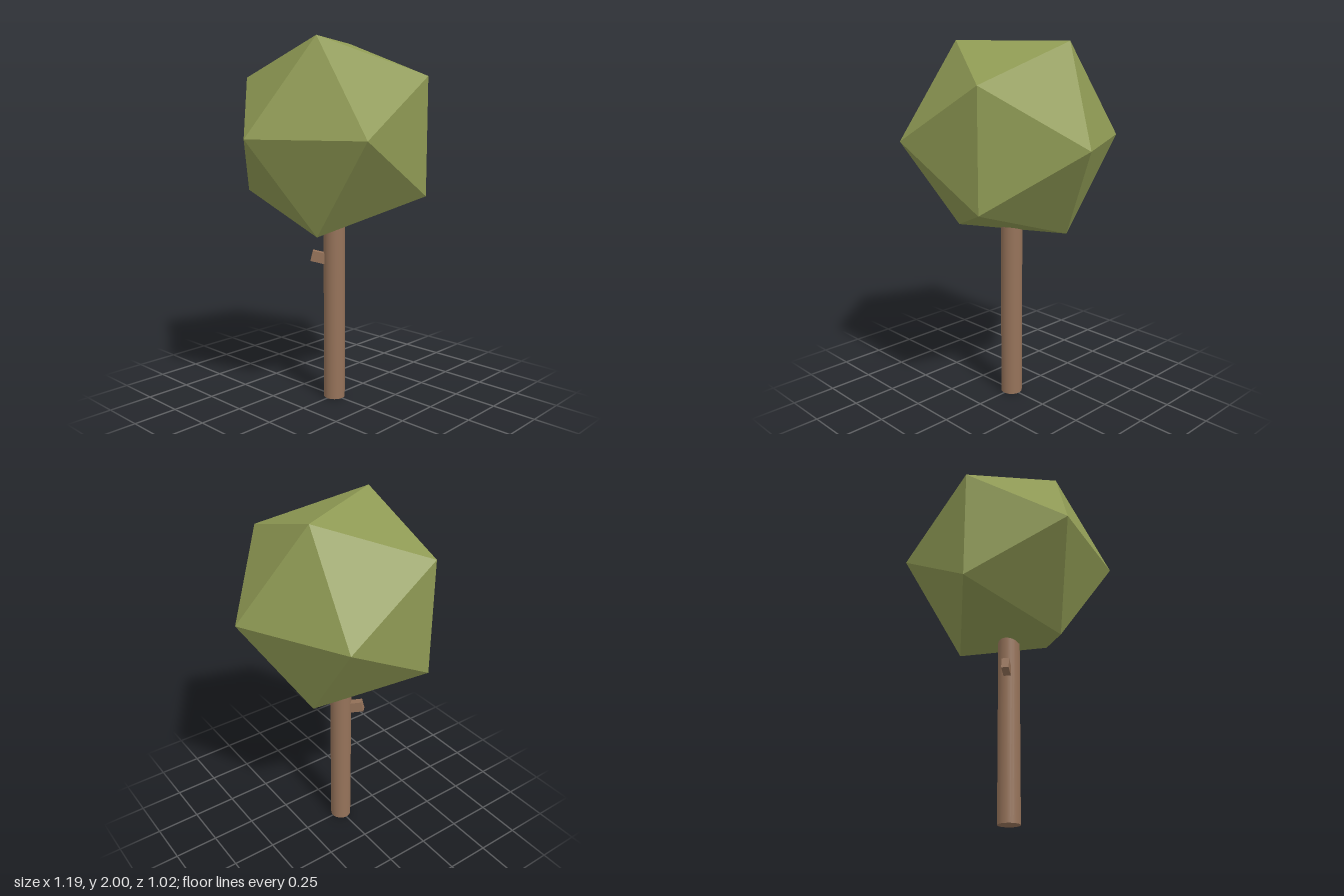
import * as THREE from 'three';

export function createModel() {
  const tree = new THREE.Group();
  tree.name = 'tree';
  const bark = new THREE.MeshStandardMaterial({ color: 0x96735a });
  const leaves = new THREE.MeshStandardMaterial({ color: 0x8f9a54, flatShading: true });

  const add = (name, geometry, material, y) => {
    const mesh = new THREE.Mesh(geometry, material);
    mesh.name = name;
    mesh.position.y = y;
    tree.add(mesh);
    return mesh;
  };

  // Straight trunk, its top hidden inside the crown
  add('trunk', new THREE.CylinderGeometry(0.06, 0.06, 1.04, 24), bark, 0.52);

  // Faceted crown resting on one edge, turned about the trunk
  add('crown', new THREE.IcosahedronGeometry(0.597, 0), leaves, 1.492).rotation.y = 0.471;

  // Short branch stub at the back, rising slightly outwards
  const stub = new THREE.BoxGeometry(0.04, 0.06, 0.09);
  stub.translate(0, 0, 0.085);
  stub.rotateX(-0.24);
  stub.rotateY(-Math.PI * 0.75);
  add('branchStub', stub, bark, 0.797);

  return tree;
}
